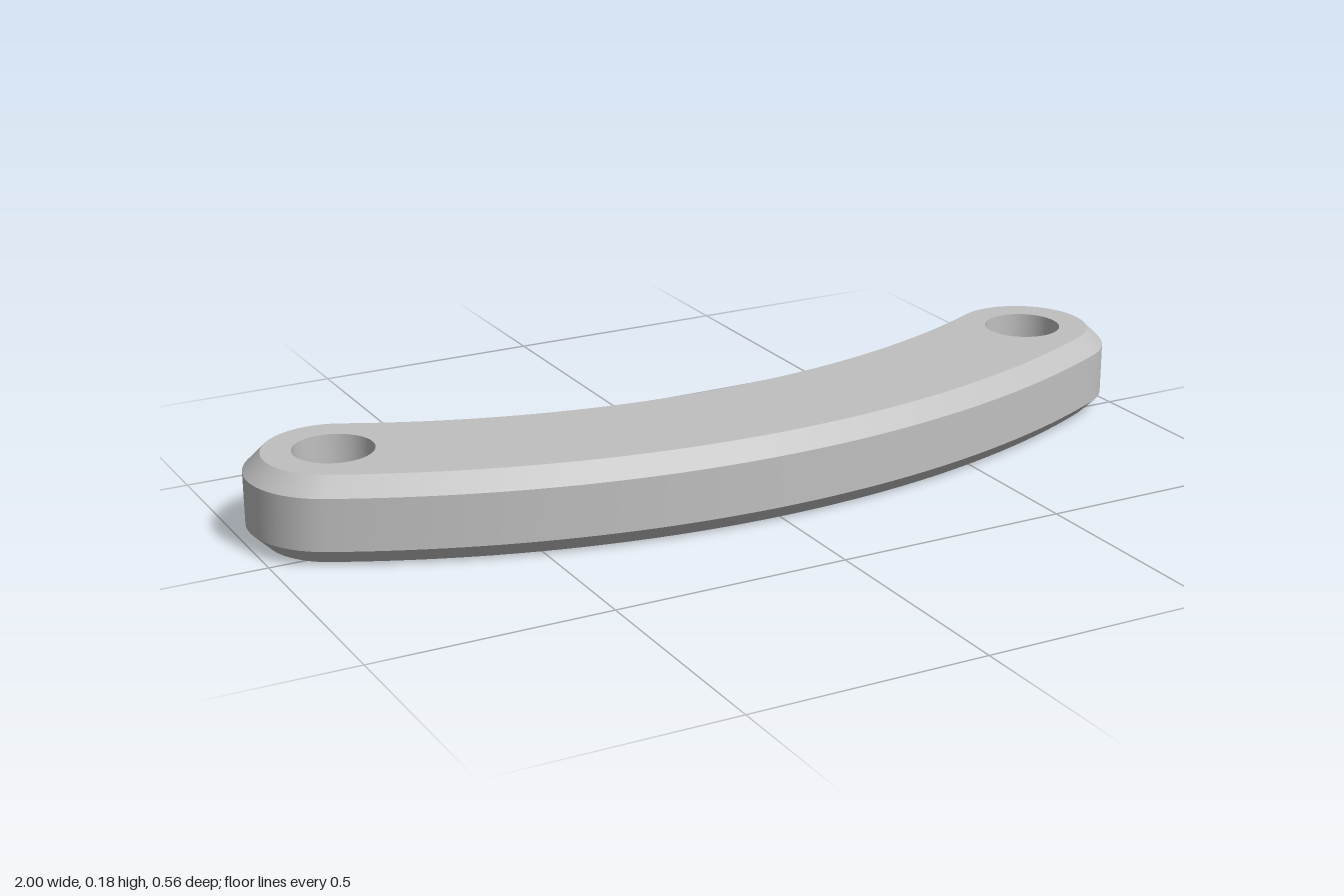
import * as THREE from 'three';

const END_X = 0.82, END_S = 0.099;   // eye centre in plan (s points to the back, s = -z)
const HALF_W = 0.18, HEIGHT = 0.182, BEVEL = 0.036, HOLE_R = 0.083;
// The centre line is an arc that passes through both eyes and mirrors about s = 0
const ARC_S = (END_X * END_X) / (4 * END_S);
const ARC_R = ARC_S + END_S;
const HALF_ANGLE = Math.atan2(END_X, ARC_S - END_S);

function arc(cx, cs, r, from, to, n) {
  return Array.from({ length: n }, (_, i) => {
    const a = from + ((to - from) * i) / n;
    return new THREE.Vector2(cx + r * Math.cos(a), cs + r * Math.sin(a));
  });
}

// Curved slot outline with round ends, counter-clockwise from above
function outline(w) {
  const a0 = -Math.PI / 2 - HALF_ANGLE, a1 = -Math.PI / 2 + HALF_ANGLE;
  return [
    ...arc(0, ARC_S, ARC_R + w, a0, a1, 64),
    ...arc(END_X, END_S, w, a1, a1 + Math.PI, 32),
    ...arc(0, ARC_S, ARC_R - w, a1, a0, 64),
    ...arc(-END_X, END_S, w, a0 + Math.PI, a0 + 2 * Math.PI, 32),
  ];
}

const holeLoop = (side) => arc(side * END_X, END_S, HOLE_R, 2 * Math.PI, 0, 48);

// Smooth closed wall between two matching loops
function band(lower, y0, upper, y1) {
  const n = lower.length, pos = [], index = [];
  lower.forEach((p) => pos.push(p.x, y0, -p.y));
  upper.forEach((p) => pos.push(p.x, y1, -p.y));
  for (let i = 0; i < n; i++) {
    const j = (i + 1) % n;
    index.push(i, j, n + j, i, n + j, n + i);
  }
  const g = new THREE.BufferGeometry();
  g.setAttribute('position', new THREE.Float32BufferAttribute(pos, 3));
  g.setIndex(index);
  g.computeVertexNormals();
  return g;
}

// Flat face with both holes; dir is 1 for facing up, -1 for facing down
function face(y, dir) {
  const turn = (pts) => pts.map((p) => new THREE.Vector2(p.x, p.y * dir));
  const shape = new THREE.Shape(turn(outline(HALF_W - BEVEL)));
  for (const side of [-1, 1]) shape.holes.push(new THREE.Path(turn(holeLoop(side))));
  return new THREE.ShapeGeometry(shape).rotateX((-dir * Math.PI) / 2).translate(0, y, 0);
}

export function createModel() {
  const group = new THREE.Group();
  group.name = 'curvedLink';
  const metal = new THREE.MeshStandardMaterial({ color: 0xc0c0c0 });
  metal.name = 'grey metal';
  const add = (name, geometry) => {
    const mesh = new THREE.Mesh(geometry, metal);
    mesh.name = name;
    group.add(mesh);
  };

  const wide = outline(HALF_W), narrow = outline(HALF_W - BEVEL);
  add('bottomFace', face(0, -1));
  add('bottomChamfer', band(narrow, 0, wide, BEVEL));
  add('sideWall', band(wide, BEVEL, wide, HEIGHT - BEVEL));
  add('topChamfer', band(wide, HEIGHT - BEVEL, narrow, HEIGHT));
  add('topFace', face(HEIGHT, 1));

  // Straight bores through the two eyes
  for (const side of [-1, 1]) {
    const loop = holeLoop(side);
    add(side > 0 ? 'leftBore' : 'rightBore', band(loop, 0, loop, HEIGHT));
  }
  return group;
}
